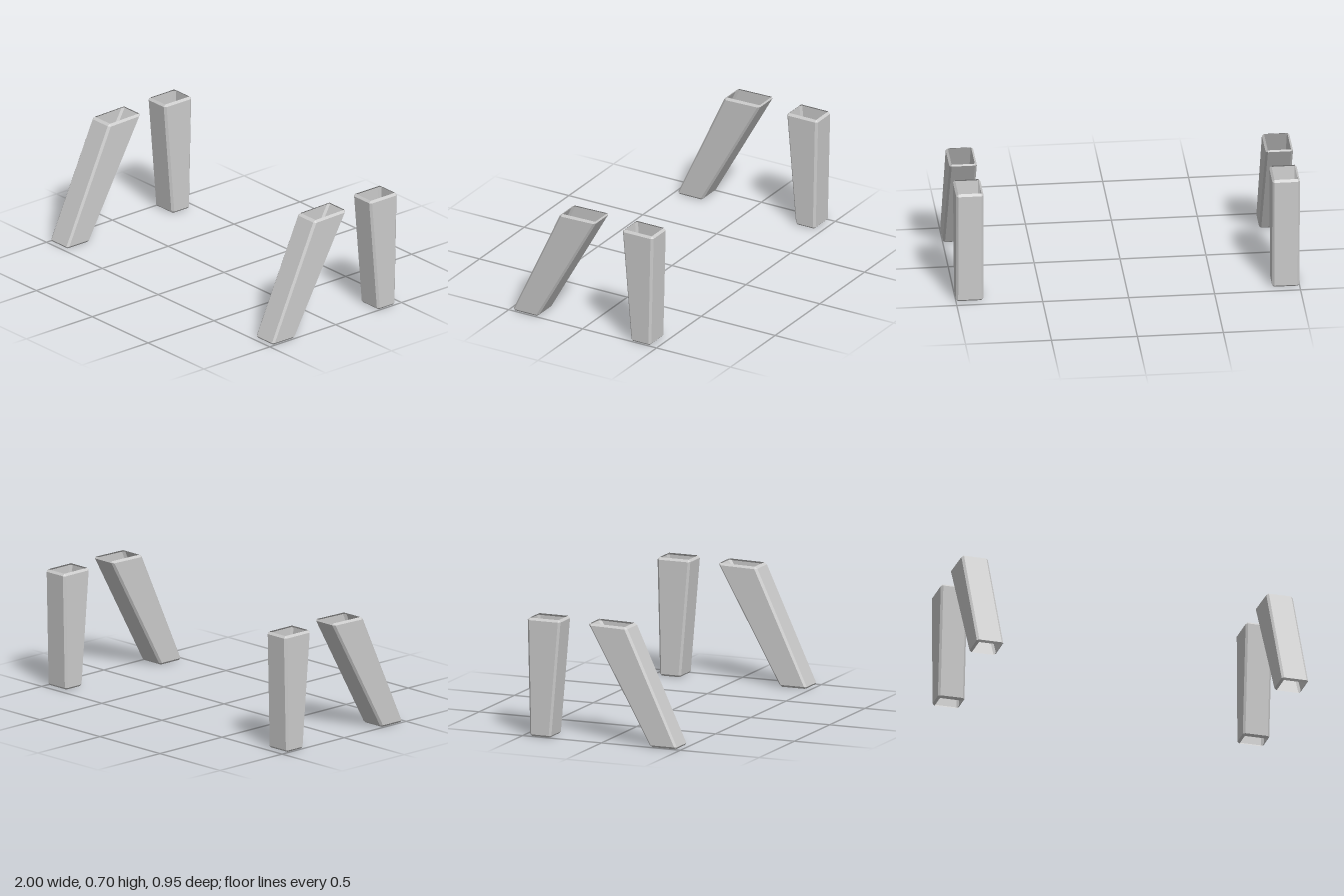
import * as THREE from 'three';

const HALF = 0.08;    // half width of a leg in x
const BEVEL = 0.0125; // chamfer size

// Eight corners, counter-clockwise seen from above.
// f and b are [z, y] of the front and back wall; fi and bi are the chamfer lines.
function octagon(f, fi, bi, b) {
  const h = HALF, i = HALF - BEVEL;
  return [
    [h, fi[1], fi[0]], [h, bi[1], bi[0]], [i, b[1], b[0]], [-i, b[1], b[0]],
    [-h, bi[1], bi[0]], [-h, fi[1], fi[0]], [-i, f[1], f[0]], [i, f[1], f[0]],
  ];
}

// Open rim: a rectangle whose corners are doubled to match the octagon.
function rim(f, b) {
  const i = HALF - BEVEL;
  const F = [i, f[1], f[0]], B = [i, b[1], b[0]];
  const FL = [-i, f[1], f[0]], BL = [-i, b[1], b[0]];
  return [F, B, B, BL, BL, FL, FL, F];
}

// Skin the rings from bottom to top, leaving both ends open.
function skin(rings) {
  const pos = [];
  const tri = (a, b, c) => {
    if (a !== b && b !== c && a !== c) pos.push(...a, ...b, ...c);
  };
  for (let r = 0; r < rings.length - 1; r++) {
    const lo = rings[r], hi = rings[r + 1];
    for (let i = 0; i < 8; i++) {
      const j = (i + 1) % 8;
      tri(lo[i], lo[j], hi[j]);
      tri(lo[i], hi[j], hi[i]);
    }
  }
  const geo = new THREE.BufferGeometry();
  geo.setAttribute('position', new THREE.Float32BufferAttribute(pos, 3));
  geo.computeVertexNormals();
  return geo;
}

export function createModel() {
  const group = new THREE.Group();
  const material = new THREE.MeshStandardMaterial({
    color: 0xcccccc, flatShading: true, side: THREE.DoubleSide,
  });

  // Slanted front leg, wider at the top
  const frontLeg = skin([
    rim([0.464, 0], [0.317, 0]),
    octagon([0.473, 0.012], [0.461, 0.013], [0.313, 0.013], [0.301, 0.012]),
    octagon([0.16, 0.685], [0.146, 0.683], [-0.069, 0.688], [-0.083, 0.69]),
    rim([0.142, 0.696], [-0.078, 0.7]),
  ]);

  // Nearly upright back leg, tapering downwards
  const backLeg = skin([
    rim([-0.335, 0], [-0.445, 0]),
    octagon([-0.323, 0.012], [-0.335, 0.012], [-0.445, 0.012], [-0.457, 0.012]),
    octagon([-0.265, 0.687], [-0.277, 0.687], [-0.459, 0.687], [-0.473, 0.687]),
    rim([-0.277, 0.7], [-0.46, 0.7]),
  ]);

  // One pair on each side
  for (const [side, s] of [['left', 1], ['right', -1]]) {
    for (const [name, geo] of [['FrontLeg', frontLeg], ['BackLeg', backLeg]]) {
      const leg = new THREE.Mesh(geo, material);
      leg.name = side + name;
      leg.position.x = s * (1 - HALF);
      group.add(leg);
    }
  }
  return group;
}
